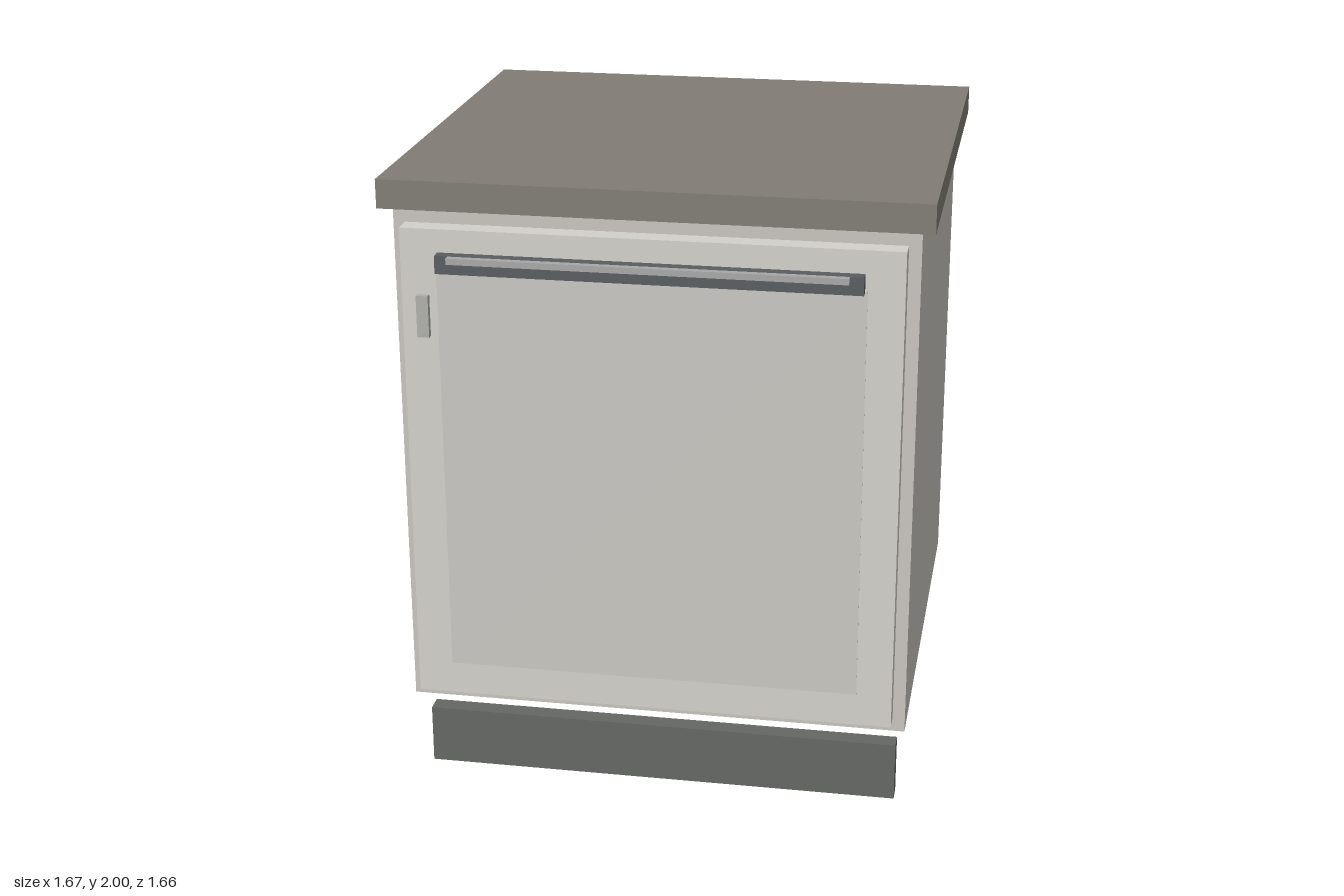
import * as THREE from 'three';

// Box part given by its extents on each axis
function box(name, color, [x0, x1], [y0, y1], [z0, z1]) {
  const mesh = new THREE.Mesh(
    new THREE.BoxGeometry(x1 - x0, y1 - y0, z1 - z0),
    new THREE.MeshStandardMaterial({ color })
  );
  mesh.name = name;
  mesh.position.set((x0 + x1) / 2, (y0 + y1) / 2, (z0 + z1) / 2);
  return mesh;
}

const sym = (h) => [-h, h];

export function createModel() {
  const model = new THREE.Group();
  model.name = 'dishwasherCabinet';

  // Cabinet and overhanging worktop
  model.add(box('cabinetBody', 0xc9c5c0, sym(0.793), [0.28, 1.91], [-0.793, 0.692]));
  model.add(box('worktop', 0x827e76, sym(0.833), [1.91, 2], [-0.83, 0.728]));

  // Door standing just off the cabinet, with a thin face panel
  const door = new THREE.Group();
  door.name = 'door';
  door.add(box('doorSlab', 0xd4d2cc, sym(0.755), [0.33, 1.865], [0.699, 0.764]));
  door.add(box('doorPanel', 0xc9c8c3, sym(0.645), [0.435, 1.74], [0.762, 0.766]));
  model.add(door);

  // Handle bar with a narrow bright strip along its top edge
  const handle = new THREE.Group();
  handle.name = 'handle';
  handle.add(box('handleBar', 0x5a5e61, sym(0.638), [1.74, 1.796], [0.771, 0.807]));
  handle.add(box('handleStrip', 0xa8a9a8, sym(0.597), [1.777, 1.796], [0.807, 0.829]));
  model.add(handle);

  // Small indicator plate beside the handle
  model.add(box('indicatorPlate', 0xb0b0ac, [-0.703, -0.666], [1.535, 1.665], [0.777, 0.796]));

  // Recessed kick board with one small block behind it
  model.add(box('kickBoard', 0x666866, sym(0.762), [0, 0.192], [0.569, 0.628]));
  model.add(box('kickBoardBlock', 0xb0b0ac, [0.61, 0.67], [0, 0.128], [0.543, 0.569]));

  return model;
}
